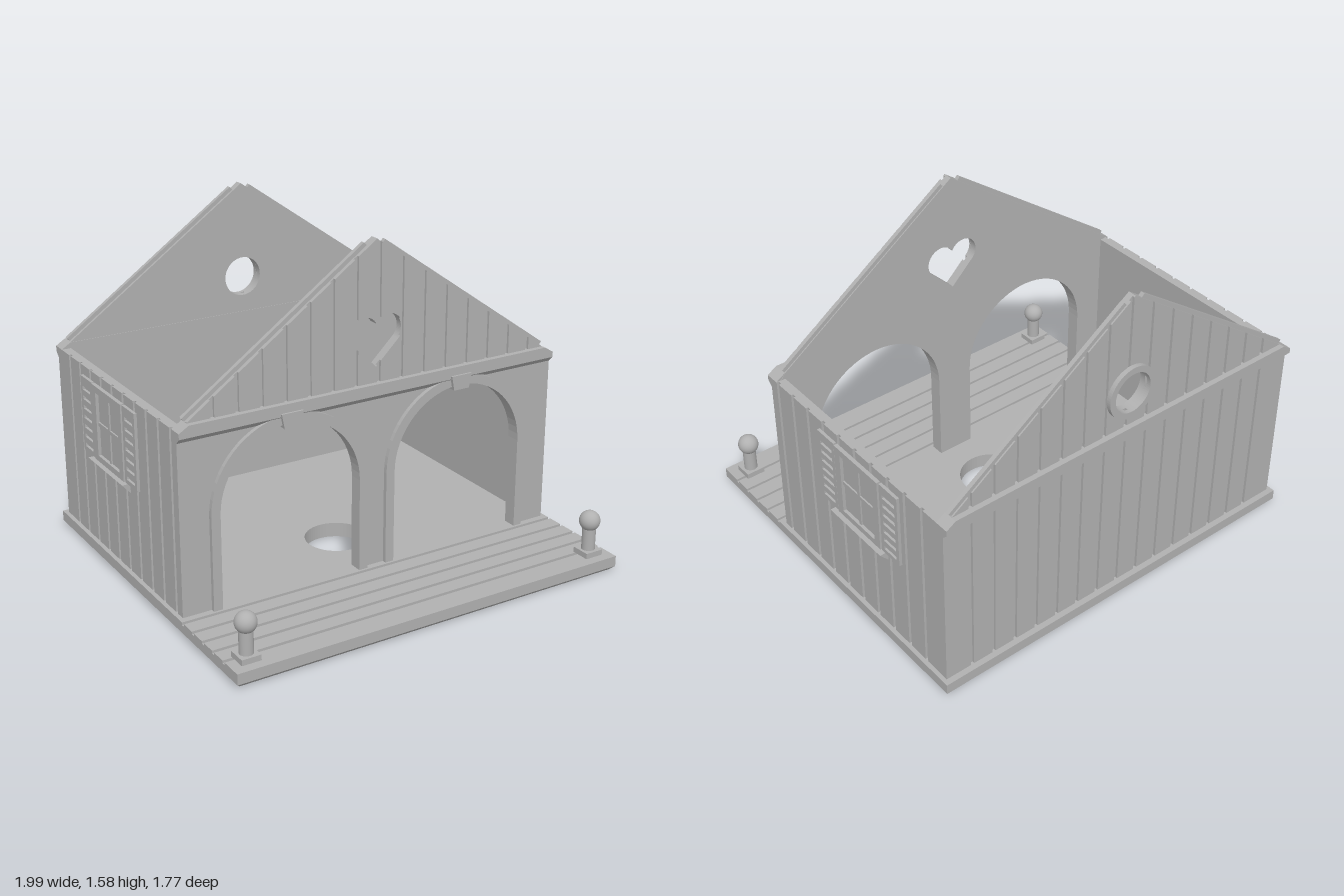
import * as THREE from 'three';

const grey = new THREE.MeshStandardMaterial({ color: 0xb0b0b0 });
grey.name = 'plain grey';

const GROOVE = 0.009;            // half width of a plank groove
const APEX = 1.575, SLOPE = 0.7, EAVE = 0.91;
const roofY = x => (Math.abs(x) > 0.91 ? EAVE : APEX - SLOPE * Math.abs(x));

// gable openings: centre height, half width, lower and upper edge at x
const heart = {
  mid: 1.168, half: 0.133, n: 48,
  bow: x => Math.sqrt(Math.max(0, 0.071 ** 2 - (Math.abs(x) - 0.062) ** 2)),
  hi(x) { return 1.168 + this.bow(x); },
  lo(x) { return Math.abs(x) < 0.111 ? 1.01 + 0.962 * Math.abs(x) : 1.168 - this.bow(x); },
};
const porthole = {
  mid: 1.115, half: 0.095, n: 48,
  bow: x => Math.sqrt(Math.max(0, 0.095 ** 2 - x * x)),
  hi(x) { return 1.115 + this.bow(x); },
  lo(x) { return 1.115 - this.bow(x); },
};

export function createModel() {
  const model = new THREE.Group();
  model.name = 'toy house';

  const add = (name, geo, x = 0, y = 0, z = 0, parent = model) => {
    const m = new THREE.Mesh(geo, grey);
    m.name = name;
    m.position.set(x, y, z);
    parent.add(m);
    return m;
  };
  const shapeOf = pts => new THREE.Shape(pts.map(p => new THREE.Vector2(p[0], p[1])));
  const extrude = (shape, depth) =>
    new THREE.ExtrudeGeometry(shape, { depth, bevelEnabled: false, curveSegments: 32 });
  const box = (w, h, d) => new THREE.BoxGeometry(w, h, d);
  const circle = (x, y, r) => new THREE.Path().absarc(x, y, r, 0, Math.PI * 2, true);
  const rect = (w, h, x = 0, y = 0) => [
    [x - w / 2, y - h / 2], [x + w / 2, y - h / 2], [x + w / 2, y + h / 2], [x - w / 2, y + h / 2]];
  // horizontal slab: shape y runs towards the back
  const slab = (shape, h) => extrude(shape, h).rotateX(-Math.PI / 2);
  // profile (outward, y) swept along x
  const sweep = (pts, len) =>
    extrude(shapeOf(pts), len).translate(0, 0, -len / 2).rotateY(-Math.PI / 2);

  // --- base: chamfered foot, blind corner sockets, round opening
  const baseShape = (sockets, z0 = -0.885, z1 = 0.885) => {
    const s = shapeOf(rect(1.95, z1 - z0, 0, -(z0 + z1) / 2));
    s.holes.push(circle(0, -0.05, 0.148));
    if (sockets) for (const x of [-0.81, 0.81]) for (const y of [-0.735, 0.735])
      s.holes.push(circle(x, y, 0.032));
    return s;
  };
  const foot = slab(baseShape(true), 0.02), fp = foot.attributes.position;
  for (let i = 0; i < fp.count; i++) {
    if (fp.getY(i) < 0.001 && Math.abs(fp.getX(i)) > 0.97) {
      fp.setX(i, Math.sign(fp.getX(i)) * 0.955);
      fp.setZ(i, Math.sign(fp.getZ(i)) * 0.865);
    }
  }
  foot.computeVertexNormals();
  add('baseFoot', foot);
  add('baseMiddle', slab(baseShape(true), 0.025), 0, 0.02);
  add('baseTop', slab(baseShape(false), 0.013), 0, 0.045);
  add('houseFloor', slab(baseShape(false, -0.885, 0.41 - GROOVE), 0.012), 0, 0.058);

  // --- porch planks
  const cuts = [0.41, 0.5, 0.59, 0.68, 0.77, 0.885 + GROOVE];
  for (let i = 0; i < 5; i++) {
    const a = cuts[i] + GROOVE, b = cuts[i + 1] - GROOVE;
    add('porchPlank', box(1.95, 0.012, b - a), 0, 0.064, (a + b) / 2);
  }

  // --- porch posts
  for (const x of [-0.885, 0.885]) {
    add('postFoot', box(0.09, 0.026, 0.09), x, 0.083, 0.795);
    add('postShaft', new THREE.CylinderGeometry(0.031, 0.031, 0.12, 32), x, 0.15, 0.795);
    add('postBall', new THREE.SphereGeometry(0.048, 32, 20), x, 0.235, 0.795);
  }

  // --- end walls
  const holePath = o => {
    const top = [], low = [];
    for (let i = 0; i <= o.n; i++) {
      const x = -o.half * Math.cos(Math.PI * i / o.n);
      top.push(new THREE.Vector2(x, o.hi(x)));
      if (i > 0 && i < o.n) low.unshift(new THREE.Vector2(x, o.lo(x)));
    }
    return new THREE.Path([...top, ...low]);
  };
  const wallShape = (bottom, opening) => {
    const s = shapeOf([...bottom, [0.93, EAVE], [0.91, 0.938], [0, APEX], [-0.91, 0.938], [-0.93, EAVE]]);
    s.holes.push(holePath(opening));
    return s;
  };
  const archArc = (cx, r, n = 32) => {
    const pts = [[cx - r, 0.07]];
    for (let i = 0; i <= n; i++) {
      const a = Math.PI * (1 - i / n);
      pts.push([cx + r * Math.cos(a), 0.507 + r * Math.sin(a)]);
    }
    return [...pts, [cx + r, 0.07]];
  };
  const ARCHES = [-0.433, 0.433];
  const frontBottom = [[-0.93, 0.07], ...ARCHES.flatMap(c => archArc(c, 0.342)), [0.93, 0.07]];
  add('frontWall', extrude(wallShape(frontBottom, heart), 0.033), 0, 0, 0.325);
  add('backWall', extrude(wallShape([[-0.93, 0.07], [0.93, 0.07]], porthole), 0.028), 0, 0, -0.845);
  // smooth lower facing of the front wall
  add('frontFacing', extrude(shapeOf([...frontBottom, [0.93, 0.9], [-0.93, 0.9]]), 0.012), 0, 0, 0.358);

  // vertical planks, cut by the roof line and the opening
  const planks = (name, w, base, o, z) => {
    const edges = [-w - GROOVE];
    for (let x = -0.79; x < w - 0.03; x += 0.115) edges.push(x);
    edges.push(w + GROOVE);
    for (let i = 0; i + 1 < edges.length; i++) {
      const a = edges[i] + GROOVE, b = edges[i + 1] - GROOVE;
      const xs = [];
      for (let k = 0; k <= 24; k++) xs.push(a + (b - a) * k / 24);
      if (a < 0 && b > 0) xs.push(0);
      xs.sort((p, q) => p - q);
      const strip = (lo, hi) => add(name, extrude(shapeOf([
        ...xs.map(x => [x, lo(x)]), ...xs.slice().reverse().map(x => [x, hi(x)])]), 0.012), 0, 0, z);
      if (b < -o.half || a > o.half) strip(() => base, roofY);
      else {
        const inside = x => Math.abs(x) < o.half;
        strip(() => base, x => (inside(x) ? o.lo(x) : o.mid));
        strip(x => (inside(x) ? o.hi(x) : o.mid), roofY);
      }
    }
  };
  planks('frontGablePlank', 0.905, 0.9, heart, 0.358);
  planks('backPlank', 0.955, 0.07, porthole, -0.857);

  // --- beams across both ends, and tongues along the gable slopes
  for (const [name, z, turn] of [['frontBeam', 0.37, 0], ['backBeam', -0.857, Math.PI]]) {
    const g = new THREE.Group();
    g.name = name;
    g.position.z = z;
    g.rotation.y = turn;
    model.add(g);
    add('beamBody', sweep([[-0.043, 0.86], [0, 0.86], [0.025, 0.885], [0.025, EAVE], [-0.043, EAVE]], 1.91), 0, 0, 0, g);
    add('beamCap', extrude(shapeOf([[-0.955, EAVE], [0.955, EAVE], [0.91, 0.938], [-0.91, 0.938]]), 0.068), 0, 0, -0.043, g);
  }
  for (const z of [0.33, -0.85]) for (const s of [-1, 1]) {
    const lower = x => APEX - SLOPE * x;
    add('slopeTongue', extrude(shapeOf([
      [s * 0.04, lower(0.04)], [s * 0.053, lower(0.053) + 0.023],
      [s * 0.92, lower(0.92) + 0.023], [s * 0.907, lower(0.907)]]), 0.02), 0, 0, z);
  }

  // --- arch trims and keystones
  for (const c of ARCHES) {
    add('archTrim', extrude(shapeOf([...archArc(c, 0.385), ...archArc(c, 0.342).reverse()]), 0.02), 0, 0, 0.37);
    add('keystone', extrude(shapeOf([
      [c - 0.04, 0.833], [c + 0.04, 0.833], [c + 0.053, 0.9], [c - 0.053, 0.9]]), 0.035), 0, 0, 0.37);
  }

  // --- ring round the back opening
  const ring = new THREE.Shape().absarc(0, 1.115, 0.125, 0, Math.PI * 2, false);
  ring.holes.push(circle(0, 1.115, 0.095));
  add('portholeRing', extrude(ring, 0.022), 0, 0, -0.878);

  // --- side walls with grooves, and their windows
  for (const s of [-1, 1]) {
    const pts = [[0.91, 0.845], [0.91, -0.37], [0.955, -0.37]];
    for (let z = 0.315; z > -0.75; z -= 0.115)
      pts.push([0.955, -z - GROOVE], [0.944, -z - GROOVE], [0.944, -z + GROOVE], [0.955, -z + GROOVE]);
    pts.push([0.955, 0.845]);
    add('sideWall', slab(shapeOf(pts.map(p => [s * p[0], p[1]])), EAVE - 0.07), 0, 0.07);

    const win = new THREE.Group();
    win.name = 'window';
    win.position.set(s * 0.955, 0, -0.288);
    win.rotation.y = s * Math.PI / 2;
    model.add(win);

    const frame = shapeOf(rect(0.306, 0.36, 0, 0.686));
    frame.holes.push(shapeOf(rect(0.228, 0.3, 0, 0.684)));
    add('windowFrame', extrude(frame, 0.018), 0, 0, 0, win);
    add('windowPane', box(0.23, 0.302, 0.012), 0, 0.684, -0.003, win);
    add('muntinUpright', box(0.016, 0.3, 0.008), 0, 0.684, 0.006, win);
    add('muntinCross', box(0.228, 0.018, 0.008), 0, 0.684, 0.006, win);
    add('sill', sweep([[0, 0.46], [0.04, 0.505], [0, 0.505]], 0.365), 0, 0, 0, win);

    // louvred shutters
    for (const x of [-0.222, 0.222]) {
      const shutter = shapeOf(rect(0.122, 0.36, x, 0.686));
      for (let k = 0; k < 7; k++) shutter.holes.push(shapeOf(rect(0.084, 0.017, x, 0.535 + k * 0.046)));
      add('shutter', extrude(shutter, 0.014), 0, 0, 0, win);
      add('shutterBack', box(0.1, 0.34, 0.012), x, 0.686, -0.004, win);
    }
  }
  return model;
}
